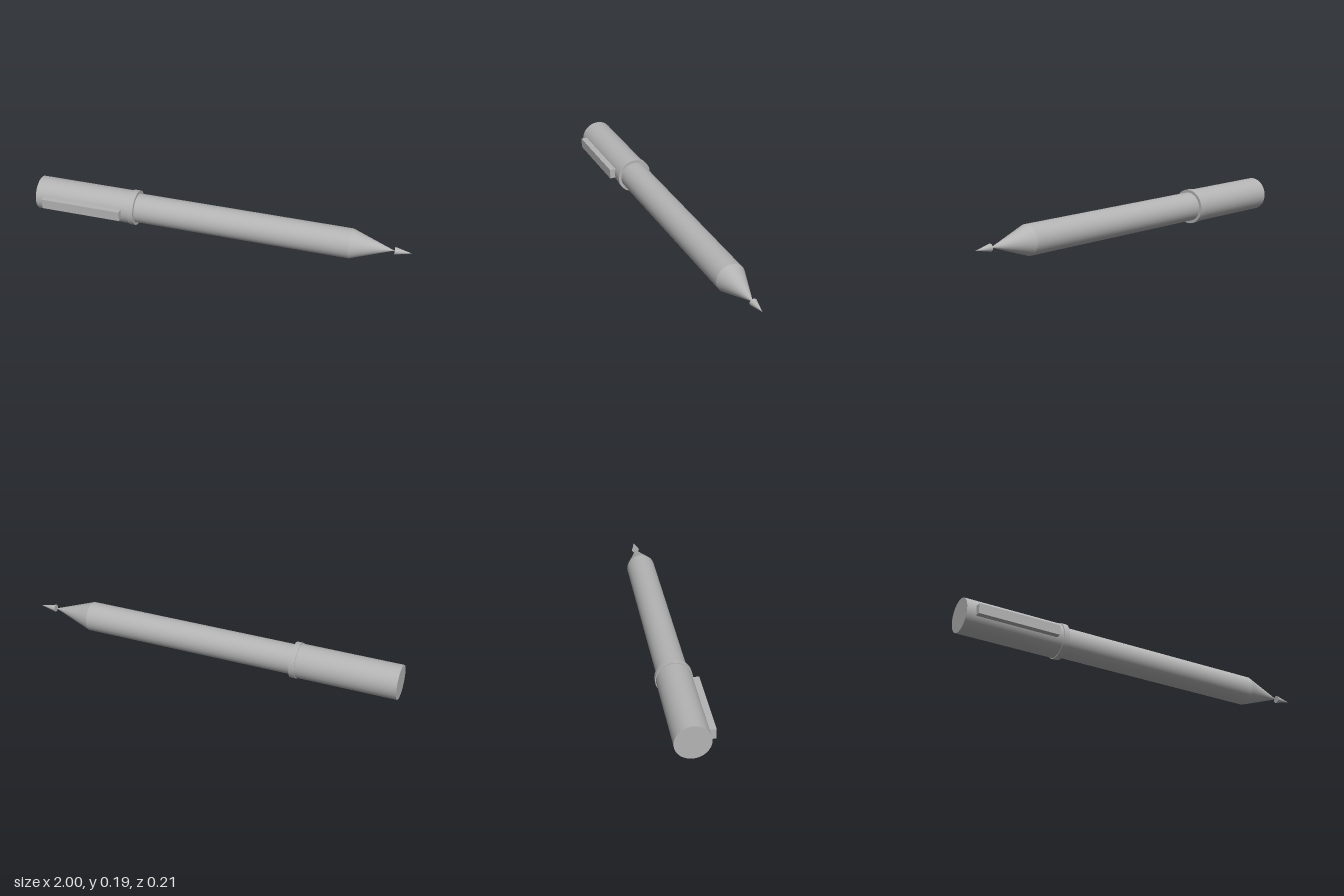
import * as THREE from 'three';

const AXIS_Y = 0.0925, AXIS_Z = -0.011, SIDES = 48;

export function createModel() {
  const model = new THREE.Group();
  model.name = 'pen';
  const grey = new THREE.MeshStandardMaterial({ color: 0xb4b4b4 });
  grey.name = 'grey';

  const add = (name, geometry, x, y, z) => {
    const mesh = new THREE.Mesh(geometry, grey);
    mesh.name = name;
    mesh.position.set(x, y, z);
    model.add(mesh);
  };

  // Round part along x, from x0 (radius r0) to x1 (radius r1)
  const round = (name, x0, x1, r0, r1) => {
    const geometry = r1 === 0
      ? new THREE.ConeGeometry(r0, x1 - x0, SIDES)
      : new THREE.CylinderGeometry(r1, r0, x1 - x0, SIDES);
    geometry.rotateZ(-Math.PI / 2);
    add(name, geometry, (x0 + x1) / 2, AXIS_Y, AXIS_Z);
  };

  round('cap', -1, -0.455, 0.088, 0.088);
  round('capRing', -0.48, -0.45, 0.0925, 0.0925);
  round('barrel', -0.47, 0.692, 0.077, 0.077);
  round('taper', 0.692, 0.912, 0.077, 0);
  round('nib', 0.914, 1, 0.0196, 0);

  // Pocket clip on the front of the cap
  add('clip', new THREE.BoxGeometry(0.435, 0.052, 0.034), -0.734, AXIS_Y + 0.001, 0.088);

  return model;
}
